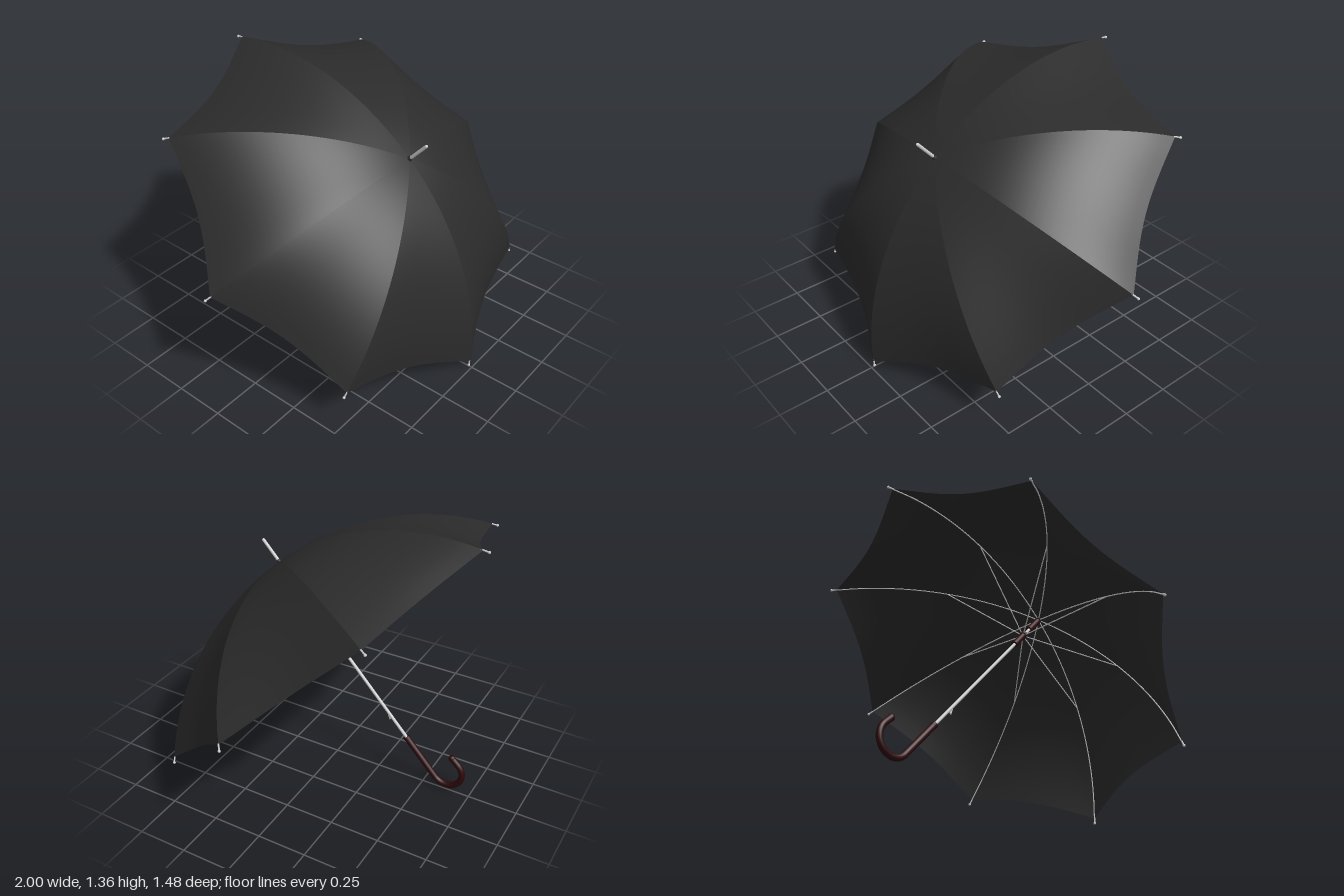
import * as THREE from 'three';

const RIBS = 8, RIM = 0.977, DOME = 1.25, APEX = 0.47;
const STEP = (Math.PI * 2) / RIBS;

// height of the dome above the rim plane at a given radius
const domeHeight = (r) => APEX - DOME + Math.sqrt(DOME * DOME - r * r);

function material(color, side = THREE.FrontSide) {
  return new THREE.MeshStandardMaterial({ color, side });
}

function add(parent, name, geometry, mat, x = 0, y = 0, z = 0) {
  const mesh = new THREE.Mesh(geometry, mat);
  mesh.name = name;
  mesh.position.set(x, y, z);
  parent.add(mesh);
  return mesh;
}

// one fabric gore: a plane bent over the dome and pulled inward between its ribs
function panelGeometry() {
  const g = new THREE.PlaneGeometry(1, 1, 14, 24);
  const p = g.attributes.position;
  for (let i = 0; i < p.count; i++) {
    const u = p.getX(i) * 2;
    const t = 0.5 - p.getY(i);
    const r = 0.004 + (RIM - 0.004) * t;
    const pull = 1 - (0.05 + 0.07 * t) * (1 - u * u);
    const a = (u * STEP) / 2;
    p.setXYZ(i, Math.sin(a) * r * pull, domeHeight(r), Math.cos(a) * r * pull);
  }
  g.computeVertexNormals();
  return g;
}

// straight thin rod between two points
function rod(a, b, radius) {
  return new THREE.TubeGeometry(new THREE.LineCurve3(a, b), 1, radius, 6);
}

export function createModel() {
  const model = new THREE.Group();
  model.name = 'umbrella';
  const body = new THREE.Group();
  body.name = 'tiltedUmbrella';
  body.position.set(0, 0.69, 0.012);
  body.rotation.x = THREE.MathUtils.degToRad(42.2);
  model.add(body);

  const fabric = material(0x2b2b2b, THREE.DoubleSide);
  const metal = material(0xcccccc);
  const wood = material(0x2d080c);

  const panel = panelGeometry();

  // rib wire following the underside of the dome
  const ribPoints = [];
  for (let i = 0; i <= 12; i++) {
    const r = 0.012 + (0.972 - 0.012) * (i / 12);
    ribPoints.push(new THREE.Vector3(0, domeHeight(r) - 0.005, r));
  }
  const rib = new THREE.TubeGeometry(new THREE.CatmullRomCurve3(ribPoints), 36, 0.003, 6);

  // strut from the runner to the middle of the rib
  const strut = rod(new THREE.Vector3(0, 0.28, 0.014),
    new THREE.Vector3(0, domeHeight(0.5) - 0.008, 0.5), 0.003);

  // tip pin along the tangent of the rib end
  const pinEnd = new THREE.Vector3(0, -0.022, 0.993);
  const pin = rod(new THREE.Vector3(0, 0.003, 0.973), pinEnd, 0.004);
  const bead = new THREE.SphereGeometry(0.007, 10, 8);

  for (let i = 0; i < RIBS; i++) {
    const gore = add(body, 'canopyPanel', panel, fabric);
    gore.rotation.y = (i + 0.5) * STEP;

    const arm = new THREE.Group();
    arm.name = 'ribAssembly';
    arm.rotation.y = i * STEP;
    add(arm, 'rib', rib, metal);
    add(arm, 'strut', strut, metal);
    add(arm, 'tipPin', pin, metal);
    add(arm, 'tipBead', bead, metal, 0, pinEnd.y, pinEnd.z);
    body.add(arm);
  }

  // shaft running from the handle to the ferrule above the canopy
  add(body, 'shaft', new THREE.CylinderGeometry(0.008, 0.008, 1.23, 16), metal, 0, -0.015, 0);
  add(body, 'ferrule', new THREE.SphereGeometry(0.008, 12, 8), metal, 0, 0.6, 0);
  add(body, 'canopyCollar', new THREE.CylinderGeometry(0.009, 0.016, 0.02, 16), fabric, 0, 0.472, 0);

  // hub under the apex and sliding runner
  add(body, 'hub', new THREE.CylinderGeometry(0.017, 0.017, 0.1, 16), wood, 0, 0.4, 0);
  add(body, 'runner', new THREE.CylinderGeometry(0.017, 0.017, 0.12, 16), wood, 0, 0.24, 0);
  add(body, 'runnerRing', new THREE.TorusGeometry(0.017, 0.004, 8, 20), wood, 0, 0.28, 0).rotation.x = Math.PI / 2;

  // spring catch: a small wedge on the shaft
  const wedge = new THREE.Shape([
    new THREE.Vector2(0, 0.025), new THREE.Vector2(0, -0.015), new THREE.Vector2(0.016, -0.015),
  ]);
  const catchGeometry = new THREE.ExtrudeGeometry(wedge, { depth: 0.006, bevelEnabled: false });
  catchGeometry.translate(0, 0, -0.003);
  add(body, 'springCatch', catchGeometry, metal, 0, -0.475, 0.005).rotation.y = -Math.PI / 2;

  // crook handle: straight grip, half-circle hook, short upturned end
  const HOOK = 0.082, BEND = -0.856;
  const path = new THREE.CurvePath();
  const crook = [];
  for (let i = 0; i <= 16; i++) {
    const a = (Math.PI * i) / 16;
    crook.push(new THREE.Vector3(0, BEND - Math.sin(a) * HOOK, -HOOK + Math.cos(a) * HOOK));
  }
  const hookEnd = new THREE.Vector3(0, BEND + 0.05, -HOOK * 2 + 0.004);
  path.add(new THREE.LineCurve3(new THREE.Vector3(0, -0.615, 0), crook[0]));
  path.add(new THREE.CatmullRomCurve3(crook));
  path.add(new THREE.LineCurve3(crook[16], hookEnd));
  add(body, 'handle', new THREE.TubeGeometry(path, 80, 0.016, 16), wood);
  add(body, 'handleEnd', new THREE.SphereGeometry(0.017, 16, 12), wood, 0, hookEnd.y, hookEnd.z);
  add(body, 'handleCollar', new THREE.CylinderGeometry(0.017, 0.017, 0.015, 16), wood, 0, -0.617, 0);

  return model;
}
